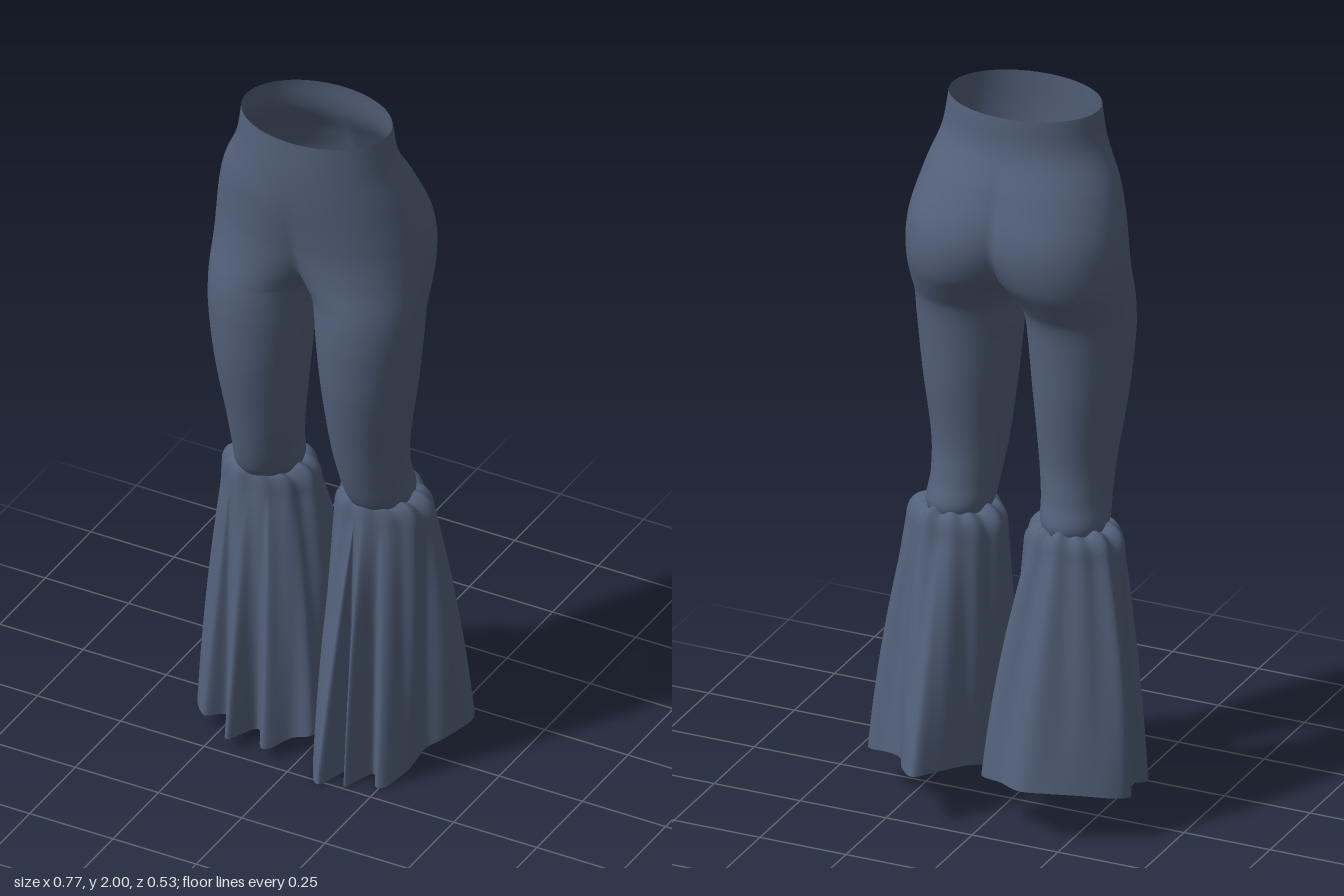
import * as THREE from 'three';
import { mergeVertices, mergeGeometries } from 'three/addons/utils/BufferGeometryUtils.js';

// Half-body sections: y, outer x, inner x at front, inner x at back, front z, back z.
// A negative inner x means the two halves meet on the centre line.
const SECTIONS = [
  [2.0, 0.212, -0.212, -0.212, 0.256, -0.046],
  [1.9, 0.23, -0.228, -0.215, 0.258, -0.06],
  [1.8, 0.27, -0.235, -0.17, 0.252, -0.108],
  [1.7, 0.297, -0.19, -0.125, 0.238, -0.15],
  [1.63, 0.306, -0.14, -0.1, 0.23, -0.16],
  [1.55, 0.308, -0.07, -0.055, 0.231, -0.145],
  [1.48, 0.307, -0.006, -0.006, 0.239, -0.106],
  [1.43, 0.305, 0.012, 0.012, 0.244, -0.078],
  [1.35, 0.302, 0.02, 0.02, 0.245, -0.065],
  [1.2, 0.286, 0.034, 0.034, 0.234, -0.056],
  [1.0, 0.258, 0.055, 0.055, 0.195, -0.038],
  [0.9, 0.252, 0.069, 0.069, 0.17, -0.05],
  [0.84, 0.256, 0.076, 0.076, 0.148, -0.068],
  [0.8, 0.25, 0.088, 0.088, 0.12, -0.055],
];

// Hem outlines as [outward x, z], from the outside round the front to the back
const HEM_LEFT = [
  [0.385, -0.07], [0.345, 0.02], [0.31, 0.06], [0.295, 0.13], [0.245, 0.205], [0.205, 0.15],
  [0.165, 0.24], [0.14, 0.165], [0.098, 0.265], [0.05, 0.2], [0.018, 0.11], [0.05, 0.03],
  [0.04, -0.05], [0.08, -0.14], [0.125, -0.22], [0.165, -0.27], [0.21, -0.235],
  [0.25, -0.165], [0.31, -0.125], [0.36, -0.105],
];
const HEM_RIGHT = [
  [0.388, -0.1], [0.355, -0.025], [0.315, 0.04], [0.338, 0.12], [0.29, 0.178], [0.24, 0.14],
  [0.19, 0.238], [0.14, 0.155], [0.085, 0.232], [0.03, 0.17], [-0.02, 0.15], [-0.025, 0.05],
  [0.015, -0.04], [-0.015, -0.16], [0.06, -0.2], [0.13, -0.237], [0.2, -0.222],
  [0.28, -0.187], [0.36, -0.14],
];

// Smooth interpolation through the section table
function sectionAt(y) {
  let k = 0;
  while (k < SECTIONS.length - 2 && y < SECTIONS[k + 1][0]) k++;
  const p = SECTIONS[k], q = SECTIONS[k + 1];
  const a = SECTIONS[Math.max(k - 1, 0)], b = SECTIONS[Math.min(k + 2, SECTIONS.length - 1)];
  const h = q[0] - p[0], t = (y - p[0]) / h, t2 = t * t, t3 = t2 * t;
  return p.map((v, i) => {
    const m0 = (q[i] - a[i]) / (q[0] - a[0]) * h, m1 = (b[i] - v) / (b[0] - p[0]) * h;
    return (2 * t3 - 3 * t2 + 1) * v + (t3 - 2 * t2 + t) * m0 + (3 * t2 - 2 * t3) * q[i] + (t3 - t2) * m1;
  });
}

// Surface grid: u runs round the body, v runs down; side -1 mirrors it
function grid(nu, nv, point, side) {
  const pos = [], index = [];
  for (let j = 0; j <= nv; j++) {
    for (let i = 0; i <= nu; i++) {
      const [x, y, z] = point(i / nu, j / nv);
      pos.push(x * side, y, z);
    }
  }
  for (let j = 0; j < nv; j++) {
    for (let i = 0; i < nu; i++) {
      const a = j * (nu + 1) + i, b = a + 1, c = a + nu + 1, d = c + 1;
      if (side > 0) index.push(a, b, c, b, d, c);
      else index.push(a, c, b, b, c, d);
    }
  }
  const g = new THREE.BufferGeometry();
  g.setAttribute('position', new THREE.Float32BufferAttribute(pos, 3));
  g.setIndex(index);
  return g;
}

function smooth(g) {
  const merged = mergeVertices(g, 1e-4);
  merged.computeVertexNormals();
  return merged;
}

// One half of the hips with its leg
function bodyHalf(side) {
  const point = (u, v) => {
    const y = 2 - 1.18 * v;
    const [, outer, inFront, inBack, zf, zb] = sectionAt(y);
    const w = u * 2 - 1;
    const inner = w > 0 ? inFront : inBack;
    const c = (outer + inner) / 2, r = (outer - inner) / 2;
    const end = inner >= 0 ? Math.PI : Math.acos(Math.max(-1, -c / r));
    const ang = w * end;
    // The waist sits slightly towards the left
    const lean = 0.01 * THREE.MathUtils.smoothstep(y, 1.75, 1.95) * side;
    return [c + r * Math.cos(ang) + lean, y, (zf + zb) / 2 + (zf - zb) / 2 * Math.sin(ang)];
  };
  return grid(64, 120, point, side);
}

// Gathered flounce: ankle ring, puffed shoulder, then folds widening to the hem
function flounce(hem, frontY, side) {
  const curve = new THREE.CatmullRomCurve3(
    hem.map(([x, z]) => new THREE.Vector3(x, 0, z)), true, 'centripetal');
  const cx = 0.17, cz = 0.024, split = 0.16;
  const point = (u, s) => {
    const h = curve.getPoint(u % 1);
    const ang = Math.atan2(h.z - cz, h.x - cx);
    const ca = Math.cos(ang), sa = Math.sin(ang);
    const pleat = 0.7 * Math.cos(11 * ang + side) + 0.5 * Math.cos(7 * ang + 2 * side) + 0.3 * Math.cos(4 * ang);
    const puff = 1 + 0.035 * pleat;
    const ankle = [cx + 0.083 * ca, 0.034 + 0.1 * sa];
    const shoulder = [cx + 0.136 * ca * puff, cz + 0.116 * sa * puff];
    const back = THREE.MathUtils.clamp((0.175 - 0.2 * sa) / 0.425, 0, 1);
    const hemY = frontY + (0.16 - frontY) * Math.pow(back, 0.8);
    const topY = 0.828 + 0.008 * pleat;
    if (s < split) {
      const t = s / split * Math.PI / 2, k = Math.sin(t);
      return [ankle[0] + (shoulder[0] - ankle[0]) * k,
        topY - 0.062 * (1 - Math.cos(t)),
        ankle[1] + (shoulder[1] - ankle[1]) * k];
    }
    const t = (s - split) / (1 - split);
    const bulge = t * (1 - t);
    const ripple = 0.005 * Math.sin(Math.PI * t) * pleat;
    return [shoulder[0] + (h.x - shoulder[0]) * (t + 0.6 * bulge) + ripple * ca,
      (topY - 0.062) * (1 - t) + hemY * t,
      shoulder[1] + (h.z - shoulder[1]) * (t + 0.15 * bulge) + ripple * sa];
  };
  return smooth(grid(180, 36, point, side));
}

export function createModel() {
  const model = new THREE.Group();
  model.name = 'flaredTrousers';
  const cloth = new THREE.MeshStandardMaterial({ color: 0x526079, side: THREE.DoubleSide });
  cloth.name = 'slateBlueCloth';

  const add = (name, geometry) => {
    const mesh = new THREE.Mesh(geometry, cloth);
    mesh.name = name;
    model.add(mesh);
  };

  // Hips and both legs sewn along the centre line
  add('hipsAndLegs', smooth(mergeGeometries([1, -1].map(bodyHalf))));
  add('leftFlounce', flounce(HEM_LEFT, 0, 1));
  add('rightFlounce', flounce(HEM_RIGHT, 0.035, -1));
  return model;
}
